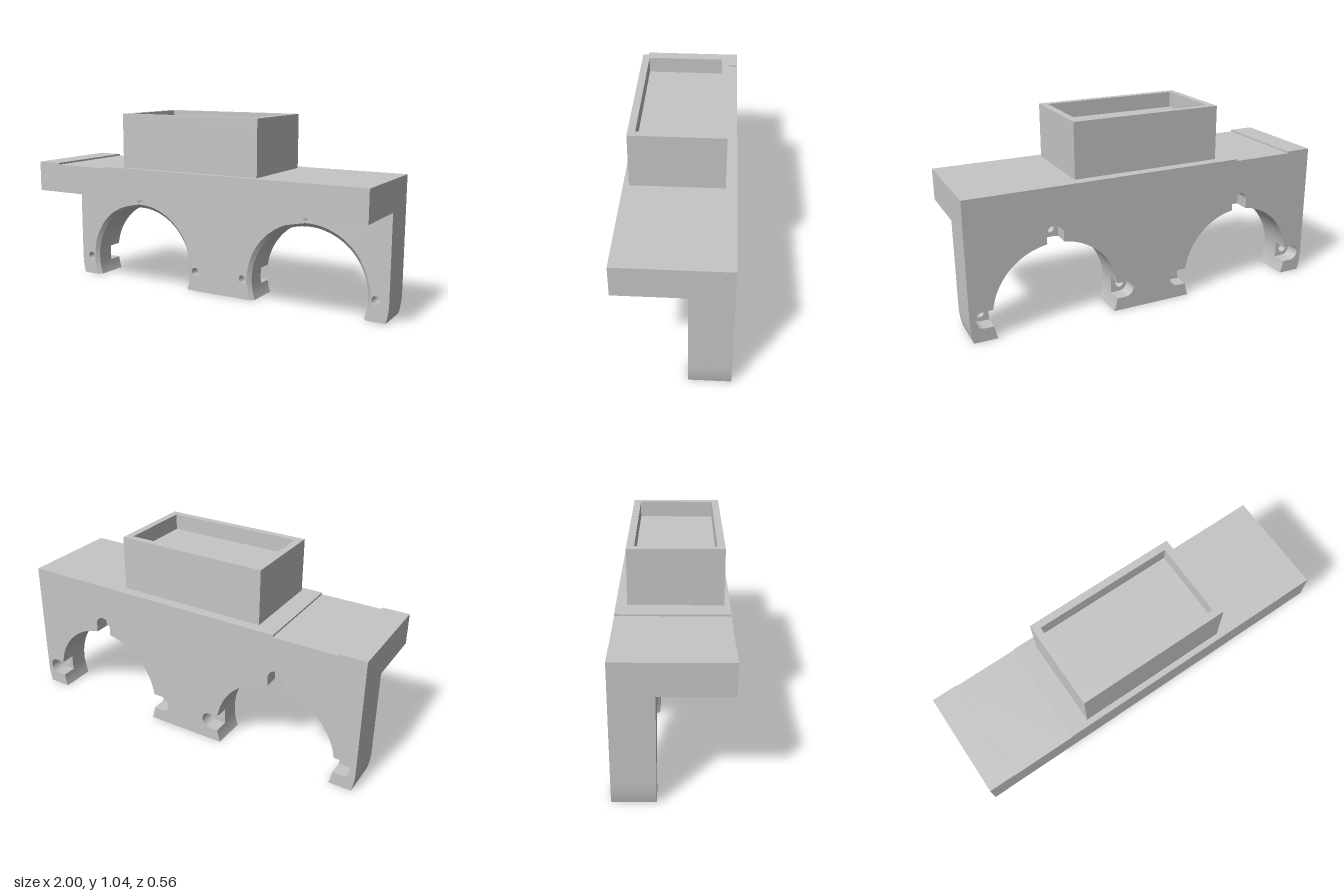
import * as THREE from 'three';
import { toCreasedNormals } from 'three/addons/utils/BufferGeometryUtils.js';

const CX = 0.543, CY = 0.115;            // arch centres (mirrored in x)
const R_BACK = 0.339, R_FRONT = 0.36;    // arch radius and its chamfered front rim
const R_HOLE = 0.386, HOLE = 0.023;      // screw holes around each arch
const SLOT = 0.045, R_OUT = 0.457;       // nut slot half width, rounded outer toe
const Z_BACK = -0.282, Z_SLOT = -0.2, Z_CHAMFER = -0.092, Z_FRONT = -0.071, Z_SLAB = 0.282;
const Y_PLATE = 0.575, Y_SLAB = 0.743, Y_FLOOR = 0.95, Y_TOP = 1.036;
const SCREWS = [0, Math.PI / 2, Math.PI];

const polar = (cx, cy, r, a) => new THREE.Vector2(cx + r * Math.cos(a), cy + r * Math.sin(a));

function arc(cx, cy, r, a0, a1, n) {
  return Array.from({ length: n + 1 }, (_, i) => polar(cx, cy, r, a0 + (a1 - a0) * i / n));
}

// Arch edge from its right foot to its left foot, with optional keyhole slots
function archEdge(cx, slotted) {
  const foot = Math.asin(CY / R_BACK), d = Math.asin(SLOT / R_BACK);
  if (!slotted) return arc(cx, CY, R_BACK, -foot, Math.PI + foot, 64);
  const pts = [];
  let from = -foot;
  for (const a of SCREWS) {
    const c = polar(cx, CY, R_HOLE, a);
    pts.push(...arc(cx, CY, R_BACK, from, a - d, from < 0 ? 5 : 20));
    pts.push(...arc(c.x, c.y, SLOT, a - Math.PI / 2, a + Math.PI / 2, 14));
    from = a + d;
  }
  return [...pts, ...arc(cx, CY, R_BACK, from, Math.PI + foot, 5)];
}

function plateShape(slotted) {
  const toe = Math.asin(CY / R_OUT);
  const shape = new THREE.Shape([
    ...arc(-CX, CY, R_OUT, Math.PI + toe, Math.PI, 8),
    new THREE.Vector2(-1, Y_PLATE), new THREE.Vector2(1, Y_PLATE),
    ...arc(CX, CY, R_OUT, 0, -toe, 8),
    ...archEdge(CX, slotted), ...archEdge(-CX, slotted),
  ]);
  if (!slotted) {
    for (const cx of [-CX, CX]) for (const a of SCREWS) {
      const c = polar(cx, CY, R_HOLE, a);
      shape.holes.push(new THREE.Path().absarc(c.x, c.y, HOLE, 0, Math.PI * 2, false));
    }
  }
  return shape;
}

const extrude = (shape, depth) =>
  new THREE.ExtrudeGeometry(shape, { depth, bevelEnabled: false, curveSegments: 12 });

// Widen the arch at the front face to form the chamfer
function flareArch(geometry, frontZ) {
  const p = geometry.attributes.position;
  for (let i = 0; i < p.count; i++) {
    const x = p.getX(i), y = p.getY(i), cx = Math.sign(x) * CX;
    if (p.getZ(i) < frontZ - 1e-4 || Math.hypot(x - cx, y - CY) > R_BACK + 1e-3) continue;
    if (y < 1e-4) {
      p.setX(i, cx + Math.sign(x - cx) * Math.sqrt(R_FRONT ** 2 - CY ** 2));
    } else {
      const k = R_FRONT / R_BACK;
      p.setXY(i, cx + (x - cx) * k, CY + (y - CY) * k);
    }
  }
  return geometry;
}

const rect = (T, x0, x1, y0, y1) => new T([[x0, y0], [x1, y0], [x1, y1], [x0, y1]]
  .map(([x, y]) => new THREE.Vector2(x, y)));

export function createModel() {
  const group = new THREE.Group();
  const grey = new THREE.MeshStandardMaterial({ color: 0xc5c5c5 });
  grey.name = 'lightGrey';
  const add = (name, geometry, x = 0, y = 0, z = 0) => {
    const mesh = new THREE.Mesh(toCreasedNormals(geometry, 0.5), grey);
    mesh.name = name;
    mesh.position.set(x, y, z);
    group.add(mesh);
    return mesh;
  };

  // Upright plate: slotted back layer, drilled middle layer, chamfered front layer
  add('archPlateBack', extrude(plateShape(true), Z_SLOT - Z_BACK), 0, 0, Z_BACK);
  add('archPlateMiddle', extrude(plateShape(false), Z_CHAMFER - Z_SLOT), 0, 0, Z_SLOT);
  const depth = Z_FRONT - Z_CHAMFER;
  add('archPlateFront', flareArch(extrude(plateShape(false), depth), depth), 0, 0, Z_CHAMFER);

  // Overhanging slab with a shallow groove across its top
  const g = Y_SLAB - 0.01;
  const slab = new THREE.Shape([
    [-1, Y_PLATE], [1, Y_PLATE], [1, Y_SLAB], [-0.517, Y_SLAB],
    [-0.517, g], [-0.857, g], [-0.857, Y_SLAB], [-1, Y_SLAB],
  ].map(([x, y]) => new THREE.Vector2(x, y)));
  add('topSlab', extrude(slab, Z_SLAB - Z_BACK), 0, 0, Z_BACK);

  // Raised tray: solid base and a rim around the recess
  const x0 = -0.41, x1 = 0.41, z0 = -0.225, z1 = 0.252, wall = 0.038;
  add('trayBase', new THREE.BoxGeometry(x1 - x0, Y_FLOOR - Y_SLAB, z1 - z0),
    (x0 + x1) / 2, (Y_FLOOR + Y_SLAB) / 2, (z0 + z1) / 2);
  const rim = rect(THREE.Shape, x0, x1, -z1, -z0);
  rim.holes.push(rect(THREE.Path, x0 + wall, x1 - wall, -z1 + wall, -z0 - wall));
  add('trayRim', extrude(rim, Y_TOP - Y_FLOOR), 0, Y_FLOOR, 0).rotation.x = -Math.PI / 2;

  return group;
}
